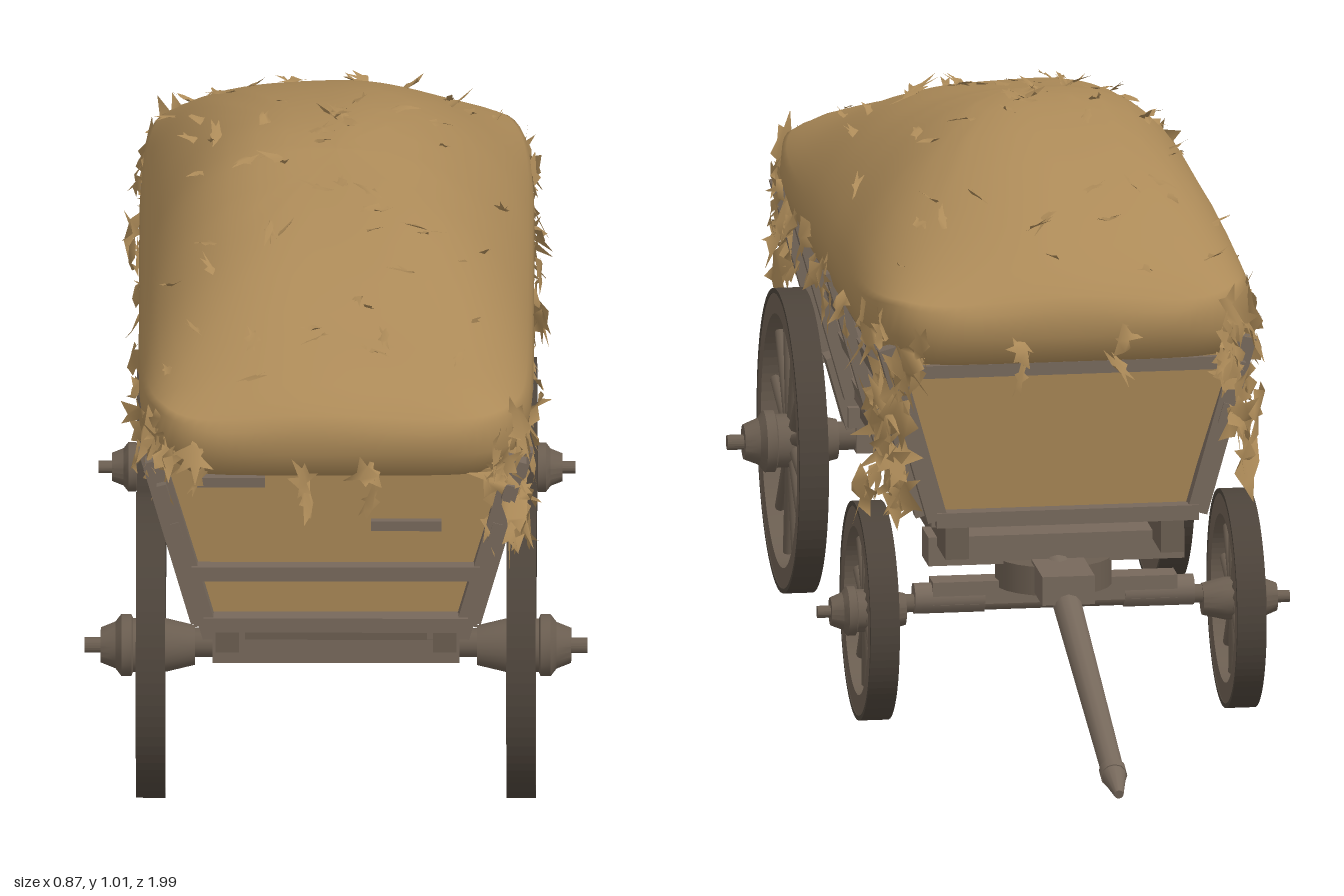
import * as THREE from 'three';
import { mergeGeometries, toCreasedNormals } from 'three/addons/utils/BufferGeometryUtils.js';

const mat = (name, color, side = THREE.FrontSide) =>
  Object.assign(new THREE.MeshStandardMaterial({ color, side }), { name });
const HAY = mat('hay', 0xac8a58, THREE.DoubleSide);
const WOOD = mat('weathered wood', 0x76685b);
const DARK = mat('wheel wood', 0x6a5d50);
const IRON = mat('tyre iron', 0x4c433a);

let seed = 7;
const rand = (a = 0, b = 1) => {
  seed = (seed * 16807) % 2147483647;
  return a + (b - a) * (seed / 2147483647);
};

function add(parent, name, geometry, material, x = 0, y = 0, z = 0) {
  const m = new THREE.Mesh(geometry, material);
  m.name = name;
  m.position.set(x, y, z);
  parent.add(m);
  return m;
}
const box = (p, name, m, w, h, d, x, y, z) => add(p, name, new THREE.BoxGeometry(w, h, d), m, x, y, z);

// Round bar between two points
function rod(parent, name, m, a, b, ra, rb, sides = 12) {
  const A = new THREE.Vector3(...a), B = new THREE.Vector3(...b), d = B.clone().sub(A);
  const r = add(parent, name, new THREE.CylinderGeometry(rb, ra, d.length(), sides), m);
  r.position.copy(A).add(B).multiplyScalar(0.5);
  r.quaternion.setFromUnitVectors(new THREE.Vector3(0, 1, 0), d.normalize());
  return r;
}

function ring(outer, inner, depth) {
  const s = new THREE.Shape().absarc(0, 0, outer, 0, Math.PI * 2);
  s.holes.push(new THREE.Path().absarc(0, 0, inner, 0, Math.PI * 2, true));
  const g = new THREE.ExtrudeGeometry(s, { depth, bevelEnabled: false, curveSegments: 40 });
  return g.translate(0, 0, -depth / 2);
}

// Spoked wheel, its axle pointing outwards
function wheel(parent, name, R, side, z, k) {
  const g = new THREE.Group();
  g.name = name;
  add(g, 'tyre', ring(R, R - 0.008, 0.05), IRON);
  add(g, 'rim', ring(R - 0.007, R - 0.043, 0.047), DARK);
  for (let i = 0; i < 12; i++) {
    const a = (i + 0.5) * Math.PI / 6, c = Math.cos(a), s = Math.sin(a);
    rod(g, 'spoke', DARK, [c * 0.03, s * 0.03, 0], [c * (R - 0.04), s * (R - 0.04), 0], 0.012, 0.009, 8);
  }
  const hub = [[0, -0.075], [0.034, -0.075], [0.046, -0.025], [0.046, 0.03], [0.053, 0.033], [0.053, 0.05],
    [0.04, 0.06], [0.03, 0.085], [0.013, 0.085], [0.013, 0.113], [0, 0.113]];
  const hg = new THREE.LatheGeometry(hub.map(([r, t]) => new THREE.Vector2(r * k, t * k)), 20);
  add(g, 'hub', toCreasedNormals(hg, 0.5), DARK).rotation.x = Math.PI / 2;
  g.position.set(side * 0.315, R, z);
  g.rotation.y = side * Math.PI / 2;
  parent.add(g);
}

// Hay outline and height
const W = 0.336, L = 0.693, ZC = 0.25;
const RIDGE = [[-0.45, 0.72], [-0.43, 0.765], [-0.38, 0.81], [-0.3, 0.858], [-0.2, 0.908], [-0.1, 0.95], [0, 0.975],
  [0.15, 0.99], [0.25, 0.983], [0.4, 0.958], [0.6, 0.905], [0.78, 0.85], [0.86, 0.82], [0.92, 0.775], [0.95, 0.73]];
function outline(t) {
  const q = (((t % 1) + 1) % 1) * 4, e = Math.floor(q), f = (q - e) * 2 - 1;
  const [u, v] = [[1, f], [-f, 1], [-1, -f], [f, -1]][e];
  const n = Math.pow(Math.abs(u) ** 7 + Math.abs(v) ** 7, 1 / 7);
  return [W * u / n, L * v / n];
}
function hayHeight(x, z) {
  let i = 0;
  while (i < RIDGE.length - 2 && z > RIDGE[i + 1][0]) i++;
  const [a, b] = [RIDGE[i], RIDGE[i + 1]];
  const top = THREE.MathUtils.lerp(a[1], b[1], THREE.MathUtils.clamp((z - a[0]) / (b[0] - a[0]), 0, 1));
  // crest leans to one side; the section grows a little squarer towards both ends
  const end = Math.min(1, Math.abs(z - 0.15) / (z > 0.15 ? 0.75 : 0.55));
  const k = x / W, lean = Math.abs(k + 0.09 * (1 - k * k));
  const cross = Math.pow(Math.max(0, 1 - Math.pow(lean, 2.4 + 0.6 * end)), 0.72 - 0.12 * end);
  return 0.72 + (top - 0.72) * cross + 0.007 * cross * Math.sin(x * 11 + z * 5) * Math.cos(z * 9 - x * 6);
}

function hayMound() {
  const rings = [[0, 0.65], [0.9, 0.65], [0.96, 0.662], [1, 0.71],
    ...[0.99, 0.97, 0.94, 0.9, 0.84, 0.76, 0.66, 0.54, 0.4, 0.25, 0.12, 0].map(s => [s])];
  const N = 120, pos = [], idx = [];
  rings.forEach(([s, y]) => {
    for (let j = 0; j < N; j++) {
      const [u, v] = outline(j / N), x = u * s, z = ZC + v * s;
      pos.push(x, y ?? hayHeight(x, z), z);
    }
  });
  for (let i = 0; i < rings.length - 1; i++) for (let j = 0; j < N; j++) {
    const a = i * N + j, b = i * N + (j + 1) % N, c = a + N, d = b + N;
    idx.push(a, c, b, b, c, d);
  }
  const g = new THREE.BufferGeometry();
  g.setAttribute('position', new THREE.Float32BufferAttribute(pos, 3));
  g.setIndex(idx);
  g.computeVertexNormals();
  return g;
}

// Ragged flat wisp with straw points
function wisp(w, h) {
  const pts = [], n = 6;
  for (let i = 0; i < n * 2; i++) {
    const a = (i + rand(-0.4, 0.4)) * Math.PI / n, r = i % 2 ? rand(0.3, 0.6) : rand(0.55, 1.2);
    pts.push(new THREE.Vector2(Math.cos(a) * r * w / 2, Math.sin(a) * r * h / 2));
  }
  const g = new THREE.ShapeGeometry(new THREE.Shape(pts)), p = g.attributes.position;
  for (let i = 0; i < p.count; i++) p.setZ(i, rand(-0.15, 0.15) * w);
  g.computeVertexNormals();
  return g;
}

function looseHay() {
  const parts = [], o = new THREE.Object3D();
  const place = (g, x, y, z, rx, ry, rz) => {
    o.position.set(x, y, z);
    o.rotation.set(rx, ry, rz, 'YXZ');
    o.updateMatrix();
    parts.push(g.applyMatrix4(o.matrix));
  };
  const hang = (t, y, w, h, out) => {
    const [x, v] = outline(t), [x2, v2] = outline(t + 0.002);
    const ry = Math.atan2(v2 - v, -(x2 - x));
    const nx = Math.sin(ry), nz = Math.cos(ry);
    place(wisp(w, h), x + nx * out, y, ZC + v + nz * out, rand(-0.5, 0.2), ry + rand(-0.7, 0.7), rand(-0.5, 0.5));
  };
  // Tufts along each edge, every one trailing a thin strand
  [9, 4, 9, 4].forEach((n, e) => {
    for (let i = 0; i < n; i++) {
      const t = (e + (i + 0.5 + rand(-0.25, 0.25)) / n) / 4, y = rand(0.66, 0.71);
      hang(t, y, rand(0.05, 0.08), rand(0.06, 0.1), rand(0, 0.012));
      hang(t + rand(-0.004, 0.004), y - 0.05, rand(0.025, 0.045), rand(0.09, 0.13), rand(-0.01, 0.005));
    }
  });
  // Corner clumps: position on the outline, lowest point, count
  [[0.25, 0.47, 24], [0.5, 0.6, 12], [0.75, 0.42, 22], [1, 0.37, 26]].forEach(([t, low, n]) => {
    for (let i = 0; i < n; i++) {
      hang(t + rand(-0.02, 0.02), rand(low + 0.04, 0.74), rand(0.05, 0.1), rand(0.08, 0.15), rand(-0.015, 0.02));
    }
  });
  // Stray wisps on top
  for (let i = 0; i < 65; i++) {
    const x = rand(-0.29, 0.29), z = rand(-0.38, 0.88);
    place(wisp(rand(0.02, 0.035), rand(0.06, 0.1)), x, hayHeight(x, z) + 0.003, z,
      -Math.PI / 2 + rand(-0.7, 0.7), rand(0, 6.28), rand(-0.5, 0.5));
  }
  return mergeGeometries(parts);
}

export function createModel() {
  const model = new THREE.Group();
  model.name = 'hayWagon';
  const cart = new THREE.Group();
  cart.name = 'wagon';
  cart.position.x = 0.023;
  cart.rotation.y = -0.037;
  model.add(cart);

  // Wheels, axles and undercarriage
  for (const s of [-1, 1]) {
    wheel(cart, 'largeWheel', 0.26, s, 0.715, 1);
    wheel(cart, 'smallWheel', 0.187, s, -0.21, 0.8);
    box(cart, 'sill', DARK, 0.04, 0.06, 1.2, s * 0.185, 0.335, 0.25);
    box(cart, 'largeAxleBlock', WOOD, 0.07, 0.035, 0.08, s * 0.19, 0.305, 0.715);
    rod(cart, 'smallAxleSleeve', WOOD, [s * 0.12, 0.205, -0.21], [s * 0.24, 0.205, -0.21], 0.027, 0.027);
  }
  box(cart, 'largeAxleBeam', WOOD, 0.42, 0.05, 0.06, 0, 0.265, 0.715);
  rod(cart, 'largeAxle', DARK, [-0.3, 0.265, 0.715], [0.3, 0.265, 0.715], 0.025, 0.025);
  box(cart, 'largeBolster', DARK, 0.36, 0.08, 0.07, 0, 0.325, 0.715);
  box(cart, 'smallAxleBeam', WOOD, 0.42, 0.04, 0.05, 0, 0.217, -0.21);
  rod(cart, 'smallAxle', DARK, [-0.3, 0.197, -0.21], [0.3, 0.197, -0.21], 0.016, 0.016);
  box(cart, 'smallBolster', WOOD, 0.44, 0.05, 0.08, 0, 0.295, -0.21);
  add(cart, 'turntable', new THREE.CylinderGeometry(0.1, 0.1, 0.05, 24), DARK, 0, 0.25, -0.21);
  rod(cart, 'perchPole', WOOD, [0, 0.265, 0.74], [0, 0.265, -0.25], 0.023, 0.023);

  // Drawbar with pointed tip
  box(cart, 'drawbarSocket', WOOD, 0.09, 0.05, 0.13, 0, 0.255, -0.33);
  rod(cart, 'drawbar', WOOD, [0, 0.262, -0.26], [0, 0.066, -0.93], 0.026, 0.02);
  rod(cart, 'drawbarCollar', WOOD, [0, 0.069, -0.92], [0, 0.063, -0.94], 0.023, 0.023);
  rod(cart, 'drawbarTip', WOOD, [0, 0.063, -0.94], [0, 0.045, -1.0], 0.021, 0.008);

  // Floor and flared hay filling
  box(cart, 'floor', WOOD, 0.46, 0.028, 1.24, 0, 0.378, 0.265);
  const fill = new THREE.BoxGeometry(1, 0.28, 1), p = fill.attributes.position;
  for (let i = 0; i < p.count; i++) {
    const up = p.getY(i) > 0;
    p.setX(i, Math.sign(p.getX(i)) * (up ? 0.29 : 0.212));
    p.setZ(i, p.getZ(i) > 0 ? (up ? 0.9 : 0.875) : (up ? -0.385 : -0.345));
  }
  fill.computeVertexNormals();
  add(cart, 'hayFilling', fill, HAY, 0, 0.528, 0);

  // Flared slatted sides
  for (const s of [-1, 1]) {
    const side = new THREE.Group();
    side.name = 'side';
    side.position.set(s * 0.222, 0.38, 0);
    side.rotation.z = -s * 0.273;
    cart.add(side);
    [[0.012, 0.025], [0.095, 0.03], [0.18, 0.036], [0.262, 0.03]].forEach(([y, h]) =>
      box(side, 'slat', WOOD, 0.016, h, 1.24 + y * 0.33, 0, y, 0.262));
    for (const z of [0.85, 0.58, 0.19, -0.27]) box(side, 'post', WOOD, 0.024, 0.33, 0.028, s * 0.016, 0.155, z);
    for (const z of [0.895, -0.37]) box(side, 'cornerPost', WOOD, 0.035, 0.315, 0.03, 0, 0.16, z);
    box(side, 'bracket', WOOD, 0.03, 0.13, 0.05, s * 0.016, -0.03, 0.715);
  }

  // End gate rails, partly covered by hay
  box(cart, 'frontBottomRail', WOOD, 0.45, 0.026, 0.024, 0, 0.383, 0.903);
  box(cart, 'frontMiddleRail', WOOD, 0.49, 0.026, 0.024, 0, 0.478, 0.903);
  box(cart, 'frontUpperRail', WOOD, 0.12, 0.018, 0.024, 0.12, 0.563, 0.893);
  box(cart, 'frontTopRail', WOOD, 0.12, 0.018, 0.024, -0.18, 0.648, 0.903);
  box(cart, 'backBottomRail', WOOD, 0.45, 0.026, 0.024, 0, 0.383, -0.378);
  box(cart, 'backTopRail', WOOD, 0.57, 0.022, 0.024, 0, 0.645, -0.383);

  // Hay load
  add(cart, 'hayMound', hayMound(), HAY);
  add(cart, 'looseHay', looseHay(), HAY);
  return model;
}
